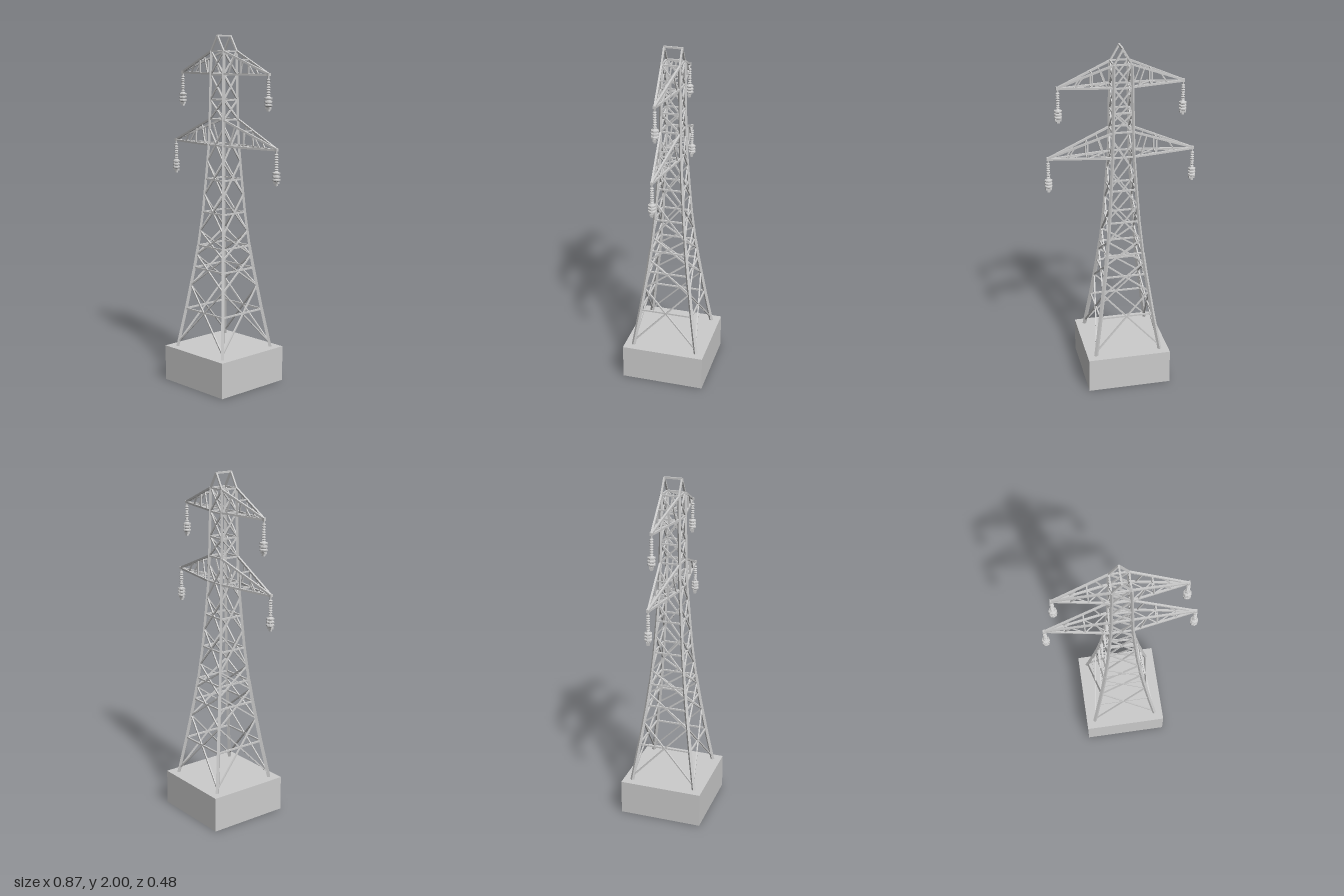
import * as THREE from 'three';
import { mergeGeometries } from 'three/addons/utils/BufferGeometryUtils.js';

const grey = new THREE.MeshStandardMaterial({ color: 0xcccccc, flatShading: true });
const greyOpen = new THREE.MeshStandardMaterial({ color: 0xcccccc, flatShading: true, side: THREE.DoubleSide });

// Half width of the tower at a given height
const taper = [[0.19, 0.193], [0.43, 0.155], [0.675, 0.12], [0.805, 0.104], [1, 0.085], [1.19, 0.072], [1.385, 0.06], [1.53, 0.056], [1.91, 0.05]];
function half(y) {
  for (let i = 1; i < taper.length; i++) {
    const [y0, w0] = taper[i - 1], [y1, w1] = taper[i];
    if (y <= y1) return w0 + (w1 - w0) * (y - y0) / (y1 - y0);
  }
  return taper[taper.length - 1][1];
}

// Square bar between two points
function bar(a, b, t) {
  const p = new THREE.Vector3(...a), q = new THREE.Vector3(...b);
  const m = new THREE.Matrix4().lookAt(p, q, Math.abs(p.x - q.x) + Math.abs(p.z - q.z) < 1e-4 ? new THREE.Vector3(0, 0, 1) : new THREE.Vector3(0, 1, 0));
  m.setPosition(p.clone().add(q).multiplyScalar(0.5));
  return new THREE.BoxGeometry(t, t, p.distanceTo(q)).applyMatrix4(m);
}

function add(group, name, geos, mat = grey) {
  const mesh = new THREE.Mesh(mergeGeometries(geos), mat);
  mesh.name = name;
  group.add(mesh);
  return mesh;
}

// Four legs following the taper
function legs() {
  const out = [];
  for (const sx of [-1, 1]) for (const sz of [-1, 1])
    for (let i = 1; i < taper.length; i++) {
      const [y0, w0] = taper[i - 1], [y1, w1] = taper[i];
      out.push(bar([sx * w0, y0, sz * w0], [sx * w1, y1, sz * w1], i < 4 ? 0.017 : 0.014));
    }
  return out;
}

// Repeat a face's bars on all four sides
function onFourSides(makeFace) {
  const out = [];
  for (let k = 0; k < 4; k++) for (const g of makeFace()) out.push(g.rotateY(k * Math.PI / 2));
  return out;
}

const levels = [0.43, 0.675, 0.805, 1, 1.19, 1.385, 1.53, 1.64, 1.78, 1.91];
const panels = [[0.23, 0.57], [0.57, 0.75], [0.75, 0.89], [0.89, 1.1], [1.1, 1.29], [1.29, 1.48], [1.53, 1.64], [1.64, 1.78], [1.78, 1.91]];

const horizontals = () => levels.map(y => bar([-half(y), y, half(y)], [half(y), y, half(y)], 0.009));
const crosses = () => panels.flatMap(([a, b]) => [-1, 1].map(s =>
  bar([-s * half(a), a, half(a)], [s * half(b), b, half(b)], 0.008)));

// Cross arm: four chords meeting at the tip, with webs and ties
function arm(s, yLow, yHigh, tip, stations) {
  const out = [], wl = half(yLow), wh = half(yHigh);
  const low = (x, sz) => [s * x, yLow, sz * wl * (tip - x) / (tip - wl)];
  const high = (x, sz) => {
    const f = (tip - x) / (tip - wh);
    return [s * x, yLow + 0.005 + (yHigh - yLow - 0.005) * f, sz * wh * f];
  };
  const [a, mid, b] = stations;
  for (const sz of [-1, 1]) {
    out.push(bar(low(wl, sz), low(tip, sz), 0.011), bar(high(wh, sz), high(tip, sz), 0.011));
    out.push(bar(low(a, sz), high(a + 0.035, sz), 0.007));
    out.push(bar(low(mid, sz), high(mid, sz), 0.008));
    out.push(bar(low(b, sz), high(b - 0.04, sz), 0.007));
    out.push(bar(low(wl, sz), low(mid, -sz), 0.006));
  }
  for (const x of [mid, b]) out.push(bar(low(x, -1), low(x, 1), 0.007));
  out.push(bar(high(mid, -1), high(mid, 1), 0.007));
  out.push(bar(low(mid, 1), low(b, -1), 0.006));
  // Tip plate
  out.push(new THREE.BoxGeometry(0.016, 0.016, 0.016).translate(s * tip, yLow + 0.003, 0));
  return out;
}

// Hanging insulator: ribbed string, wide sheds and a clamp
function insulator() {
  const pts = [[0, 0], [0.005, 0], [0.005, -0.018]];
  for (let i = 0; i < 7; i++) {
    const y = -0.02 - i * 0.0135;
    pts.push([0.006, y], [0.011, y - 0.004], [0.011, y - 0.007], [0.006, y - 0.01]);
  }
  for (let i = 0; i < 3; i++) {
    const y = -0.118 - i * 0.018;
    pts.push([0.013, y], [0.022, y - 0.003], [0.022, y - 0.011], [0.013, y - 0.015]);
  }
  pts.push([0.011, -0.172], [0, -0.172]);
  const body = new THREE.LatheGeometry(pts.reverse().map(p => new THREE.Vector2(...p)), 8);
  const clamp = new THREE.BoxGeometry(0.034, 0.012, 0.016).translate(0, -0.176, 0);
  const foot = new THREE.BoxGeometry(0.016, 0.014, 0.012).translate(0, -0.187, 0);
  return [body, clamp, foot];
}

export function createModel() {
  const model = new THREE.Group();
  model.name = 'transmissionTower';

  // Plinth: thin-walled and open underneath
  const plinth = new THREE.BoxGeometry(0.484, 0.205, 0.484).translate(0, 0.1025, 0);
  const idx = Array.from(plinth.index.array);
  idx.splice(18, 6); // drop the bottom face
  plinth.setIndex(idx);
  add(model, 'plinth', [plinth], greyOpen);

  add(model, 'legs', legs());
  add(model, 'horizontalBraces', onFourSides(horizontals));
  add(model, 'crossBraces', onFourSides(crosses));

  // Ridge at the top
  const w = half(1.91), peak = [bar([0, 1.995, -w - 0.004], [0, 1.995, w + 0.004], 0.01)];
  for (const sx of [-1, 1]) for (const sz of [-1, 1])
    peak.push(bar([sx * w, 1.91, sz * w], [0, 1.995, sz * w], 0.01));
  add(model, 'peak', peak);

  // Arms and insulators, mirrored left and right
  const tiers = [
    { name: 'lower', low: 1.385, high: 1.53, tip: 0.412, stations: [0.1, 0.195, 0.305] },
    { name: 'upper', low: 1.785, high: 1.91, tip: 0.349, stations: [0.085, 0.165, 0.255] },
  ];
  for (const t of tiers) for (const s of [-1, 1]) {
    const side = s > 0 ? 'Left' : 'Right';
    add(model, t.name + side + 'Arm', arm(s, t.low, t.high, t.tip, t.stations));
    add(model, t.name + side + 'Insulator', insulator()).position.set(s * t.tip, t.low, 0);
  }
  return model;
}
